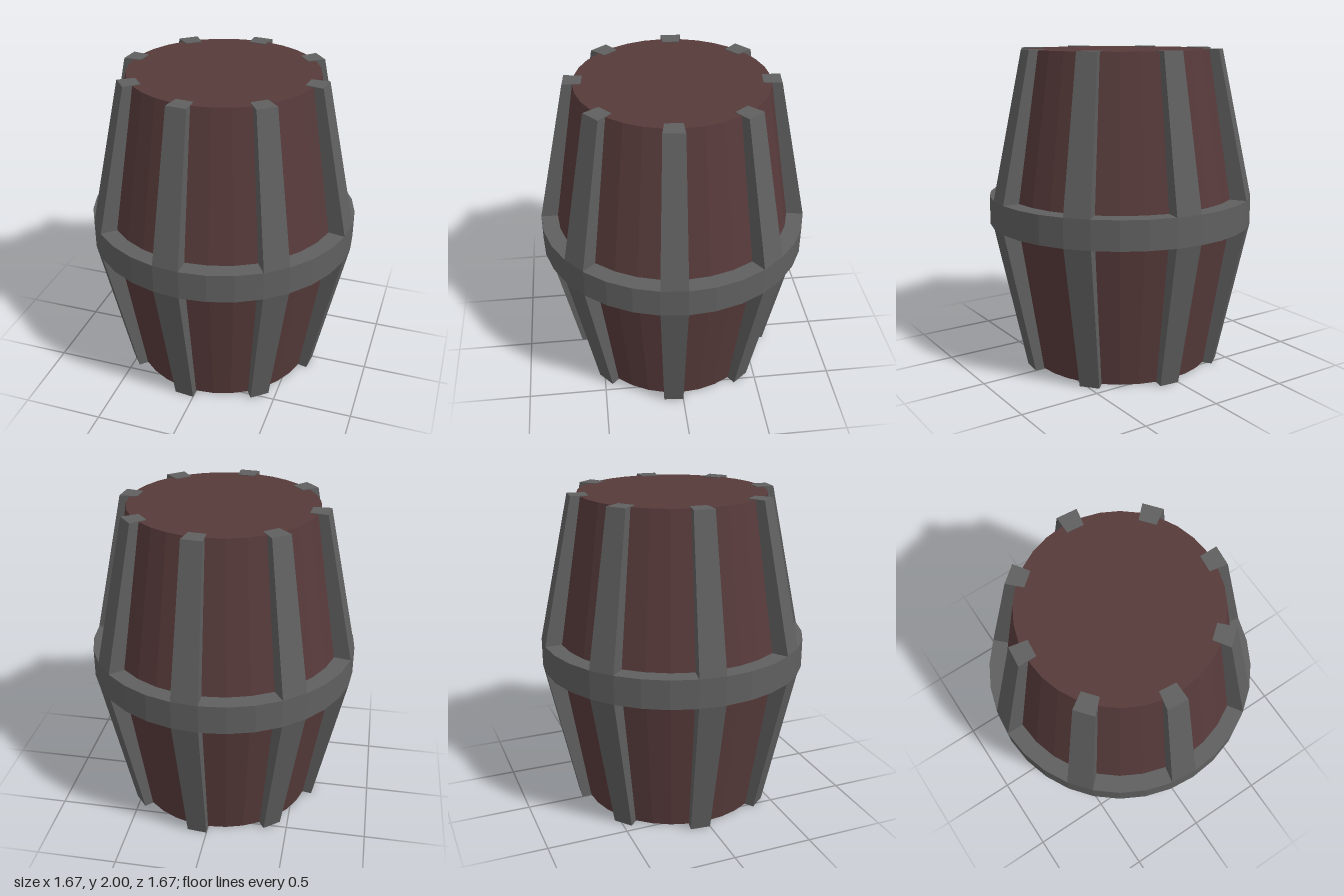
import * as THREE from 'three';

const SIDES = 32;
const STEP = (Math.PI * 2) / SIDES;
const BAND_LOW = 0.91;
const BAND_HIGH = 1.09;

// Gives every face its own flat normal
function faceted(geometry) {
  const flat = geometry.toNonIndexed();
  flat.computeVertexNormals();
  return flat;
}

function turned(profile) {
  const points = profile.map(([r, y]) => new THREE.Vector2(r, y));
  return faceted(new THREE.LatheGeometry(points, SIDES));
}

// A rib one facet wide: a box bent to the barrel's outline, tapering to both ends
function ribGeometry() {
  const geometry = new THREE.BoxGeometry(1, 3, 1, 1, 3, 1);
  const rows = [
    { y: 0, inner: 0.53, outer: 0.64 },
    { y: BAND_LOW, inner: 0.7, outer: 0.835 },
    { y: BAND_HIGH, inner: 0.7, outer: 0.835 },
    { y: 2, inner: 0.53, outer: 0.64 },
  ];
  const p = geometry.attributes.position;
  for (let i = 0; i < p.count; i++) {
    const row = rows[Math.round(p.getY(i) + 1.5)];
    const r = p.getZ(i) > 0 ? row.outer : row.inner;
    const angle = p.getX(i) > 0 ? 0 : -STEP;
    p.setXYZ(i, r * Math.sin(angle), row.y, r * Math.cos(angle));
  }
  return faceted(geometry);
}

export function createModel() {
  const wood = new THREE.MeshStandardMaterial({ color: 0x573a3a });
  const iron = new THREE.MeshStandardMaterial({ color: 0x5f5f5f });
  wood.name = 'dark red wood';
  iron.name = 'grey iron';

  const model = new THREE.Group();
  model.name = 'barrel';

  function add(name, geometry, material) {
    const mesh = new THREE.Mesh(geometry, material);
    mesh.name = name;
    model.add(mesh);
    return mesh;
  }

  // Wooden body with closed ends
  add('body', turned([
    [0, 0.004], [0.58, 0.004], [0.73, BAND_LOW],
    [0.73, BAND_HIGH], [0.58, 1.996], [0, 1.996],
  ]), wood);

  // Iron band around the middle
  add('middleBand', turned([
    [0.72, BAND_LOW], [0.835, BAND_LOW], [0.835, BAND_HIGH], [0.72, BAND_HIGH],
  ]), iron);

  // Eight upright iron ribs
  const rib = ribGeometry();
  for (let i = 0; i < 8; i++) {
    add(`rib${i + 1}`, rib, iron).rotation.y = (i * Math.PI) / 4;
  }

  return model;
}
